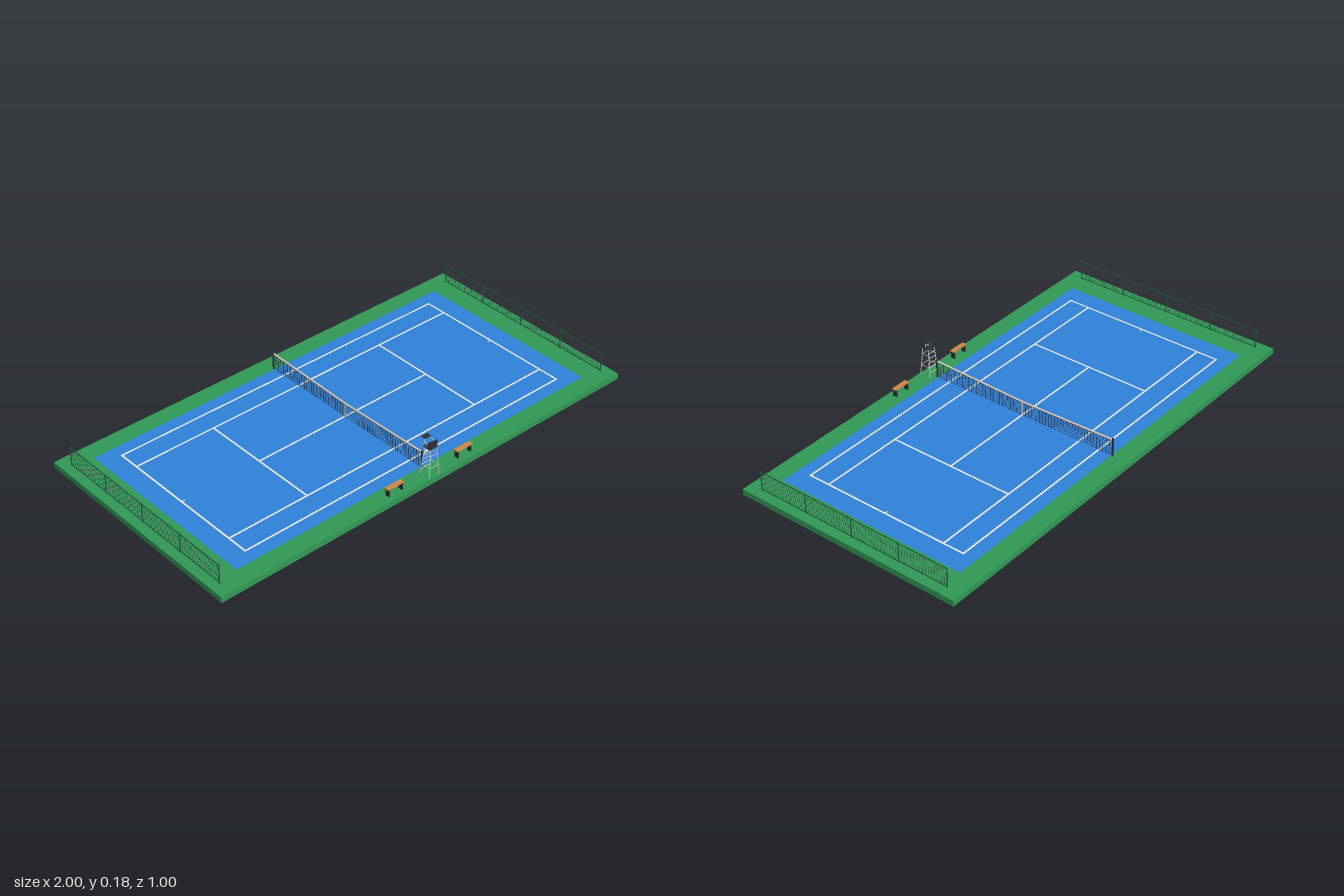
import * as THREE from 'three';
import { mergeGeometries } from 'three/addons/utils/BufferGeometryUtils.js';

const mat = (name, color) => {
  const m = new THREE.MeshStandardMaterial({ color });
  m.name = name;
  return m;
};
const V = (x, y, z) => new THREE.Vector3(x, y, z);

// Box given by size and centre
const box = (w, h, d, x, y, z) => new THREE.BoxGeometry(w, h, d).translate(x, y, z);

// Flat painted rectangle facing up
const paint = (w, d, x, y, z) => new THREE.PlaneGeometry(w, d).rotateX(-Math.PI / 2).translate(x, y, z);

// Round bar between two points
function bar(a, b, r, sides = 16) {
  const dir = b.clone().sub(a);
  const g = new THREE.CylinderGeometry(r, r, dir.length(), sides);
  g.applyQuaternion(new THREE.Quaternion().setFromUnitVectors(V(0, 1, 0), dir.normalize()));
  return g.translate((a.x + b.x) / 2, (a.y + b.y) / 2, (a.z + b.z) / 2);
}

function part(parent, name, geos, material) {
  const m = new THREE.Mesh(mergeGeometries(geos), material);
  m.name = name;
  parent.add(m);
}

export function createModel() {
  const green = mat('surround green', 0x319955);
  const blue = mat('court blue', 0x2f81da);
  const white = mat('line white', 0xf6f5f0);
  const dark = mat('dark metal', 0x2c3036);
  const fenceGreen = mat('fence green', 0x1f5a40);
  const wire = mat('wire grey', 0x3c4642);
  const netBlack = mat('net black', 0x22262a);
  const wood = mat('bench wood', 0xcd8648);
  const tape = mat('net tape', 0xdccfbf);
  const frame = mat('chair frame grey', 0xc4c8cc);
  const model = new THREE.Group();
  model.name = 'tennisCourt';
  const group = (name) => {
    const g = new THREE.Group();
    g.name = name;
    model.add(g);
    return g;
  };
  const Y = 0.025; // ground level

  // Ground slab and playing surface
  part(model, 'groundSlab', [box(2, Y, 1, 0, Y / 2, 0)], green);
  part(model, 'playingSurface', [paint(1.745, 0.845, 0, Y + 0.0008, 0)], blue);

  // Court markings
  const lines = [];
  const line = (w, d, x, z) => lines.push(paint(w, d, x, Y + 0.0016, z));
  const t = 0.008;
  for (const s of [-1, 1]) {
    line(1.582, t, 0, s * 0.365);
    line(1.582, t, 0, s * 0.274);
    line(t, 0.73, s * 0.787, 0);
    line(t, 0.548, s * 0.425, 0);
    line(0.012, 0.006, s * 0.779, 0);
  }
  line(0.85, t, 0, 0);
  part(model, 'courtLines', lines, white);

  // Net with sagging top edge
  const net = group('net');
  const half = 0.425;
  const top = (z) => 0.087 + 0.011 * Math.abs(z) / half;
  const strings = [];
  const columns = 60, rows = 7;
  for (let i = 0; i <= columns; i++) {
    const z = -half + (2 * half * i) / columns;
    strings.push(box(0.001, top(z) - Y, 0.0009, 0, (top(z) + Y) / 2, z));
  }
  for (const s of [-1, 1]) {
    for (let j = 0; j < rows; j++) {
      const f = (j + 0.3) / rows;
      const y = (z) => Y + (top(z) - Y) * f;
      strings.push(bar(V(0, y(0), 0), V(0, y(half), s * half), 0.0007, 6));
    }
  }
  part(net, 'netStrings', strings, netBlack);
  part(net, 'netTape', [-1, 1].map((s) =>
    bar(V(0, top(0), 0), V(0, top(half), s * half), 0.0038)), tape);
  part(net, 'centreStrap', [box(0.003, 0.062, 0.005, 0, Y + 0.031, 0)], tape);
  part(net, 'netPosts', [-1, 1].map((s) =>
    bar(V(0, Y, s * 0.428), V(0, 0.104, s * 0.428), 0.004)), dark);

  // End fences
  for (const s of [-1, 1]) {
    const fence = group(s > 0 ? 'leftFence' : 'rightFence');
    const x = s * 0.96;
    part(fence, 'fencePosts', [-0.44, -0.22, 0, 0.22, 0.44].map((z) =>
      bar(V(x, Y, z), V(x, 0.11, z), 0.0024)), fenceGreen);
    part(fence, 'fenceRails', [0.108, 0.03].map((y) =>
      bar(V(x, y, -0.44), V(x, y, 0.44), 0.002)), fenceGreen);
    const wires = [];
    for (let i = 1; i < 64; i++) wires.push(box(0.0006, 0.08, 0.0006, x, 0.068, -0.44 + i * 0.01375));
    for (let j = 1; j < 7; j++) wires.push(box(0.0006, 0.0006, 0.88, x, 0.03 + j * 0.0112, 0));
    part(fence, 'fenceMesh', wires, wire);
  }

  // Benches
  for (const s of [-1, 1]) {
    const bench = group(s > 0 ? 'leftBench' : 'rightBench');
    const x = s * 0.174;
    part(bench, 'benchSeat', [box(0.078, 0.004, 0.021, x, 0.058, 0.467)], wood);
    part(bench, 'benchLegs', [-1, 1].map((k) =>
      box(0.004, 0.031, 0.019, x + k * 0.032, Y + 0.0155, 0.467)), dark);
  }

  // Umpire chair facing the net
  const chair = group('umpireChair');
  const seatY = 0.148;
  const leg = (sx, back, y) => { // point on a tapering leg
    const f = (y - Y) / (seatY - Y);
    const z = back ? 0.494 - 0.008 * f : 0.446 + 0.01 * f;
    return V(sx * (0.025 - 0.009 * f), y, z);
  };
  const legs = [], rungs = [];
  for (const sx of [-1, 1]) {
    for (const back of [false, true]) legs.push(bar(leg(sx, back, Y), leg(sx, back, seatY), 0.0018));
    for (const y of [0.068, 0.118]) rungs.push(bar(leg(sx, false, y), leg(sx, true, y), 0.0012));
  }
  for (const y of [0.045, 0.066, 0.087, 0.108, 0.129])
    rungs.push(bar(leg(-1, false, y), leg(1, false, y), 0.0014));
  for (const y of [0.068, 0.118]) rungs.push(bar(leg(-1, true, y), leg(1, true, y), 0.0012));
  part(chair, 'chairLegs', legs, frame);
  part(chair, 'chairRungs', rungs, frame);
  part(chair, 'chairSeat', [box(0.038, 0.005, 0.034, 0, 0.15, 0.47)], dark);
  part(chair, 'chairBack', [box(0.036, 0.027, 0.004, 0, 0.167, 0.485)], dark);
  const arms = [];
  for (const sx of [-1, 1]) {
    arms.push(bar(V(sx * 0.018, 0.152, 0.469), V(sx * 0.018, 0.169, 0.469), 0.0012));
    arms.push(bar(V(sx * 0.018, 0.169, 0.47), V(sx * 0.018, 0.169, 0.455), 0.0016));
  }
  part(chair, 'armRests', arms, frame);
  part(chair, 'writingTray', [box(0.03, 0.003, 0.019, 0, 0.183, 0.446)], dark);
  part(chair, 'traySupports', [-1, 1].map((sx) =>
    bar(V(sx * 0.016, 0.169, 0.456), V(sx * 0.014, 0.183, 0.452), 0.0009)), frame);

  return model;
}
